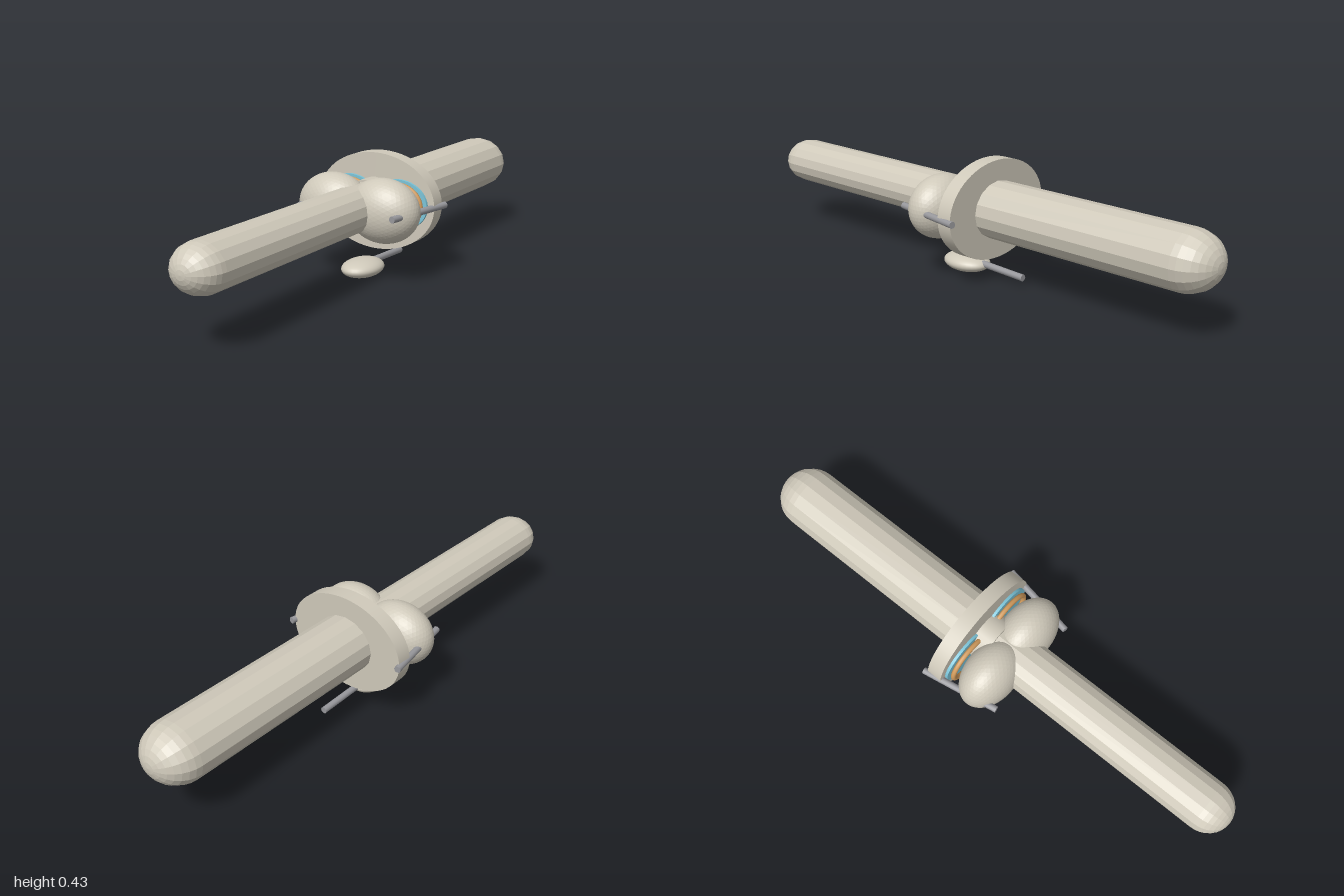
import * as THREE from 'three';

const AXIS_Y = 0.257; // height of the main axis
const material = (color, flatShading) => new THREE.MeshStandardMaterial({ color, flatShading });
const hullFlat = material(0xcfc9ba, true);
const hullSmooth = material(0xcfc9ba, false);
const rodGrey = material(0x98989c, false);
const blue = material(0x7cc4d8, false);
const orange = material(0xd09a5c, false);

export function createModel() {
  const model = new THREE.Group();

  const add = (name, geometry, mat, x = 0, y = AXIS_Y, z = 0) => {
    const mesh = new THREE.Mesh(geometry, mat);
    mesh.name = name;
    mesh.position.set(x, y, z);
    model.add(mesh);
    return mesh;
  };

  // Long oval tube along +z with a domed tip, turned round for the rear hull
  const hull = (name, rx, ry, start, shoulder, tip, turn) => {
    const profile = [new THREE.Vector2(0, start), new THREE.Vector2(1, start)];
    for (let i = 0; i <= 8; i++) {
      const a = (i / 8) * Math.PI / 2;
      profile.push(new THREE.Vector2(i === 8 ? 0 : Math.cos(a), shoulder + (tip - shoulder) * Math.sin(a)));
    }
    const geometry = new THREE.LatheGeometry(profile, 16);
    geometry.rotateX(Math.PI / 2).scale(rx, ry, 1).rotateY(turn);
    return add(name, geometry, hullFlat);
  };
  hull('frontHull', 0.093, 0.082, 0, 0.905, 1, 0);
  hull('rearHull', 0.114, 0.102, 0.06, 0.885, 1, Math.PI);

  // Oval cylinder along z between two depths
  const ovalDisc = (name, rx, ry, z0, z1, mat, x = 0, sides = 64) => {
    const geometry = new THREE.CylinderGeometry(1, 1, Math.abs(z1 - z0), sides);
    geometry.rotateX(Math.PI / 2).scale(rx, ry, 1);
    return add(name, geometry, mat, x, AXIS_Y, (z0 + z1) / 2);
  };
  ovalDisc('bulkhead', 0.237, 0.176, -0.115, -0.058, hullSmooth);
  ovalDisc('neck', 0.09, 0.088, -0.06, 0.01, hullSmooth, 0, 32);

  // Straight round rod between two points
  const rod = (name, from, to, radius) => {
    const direction = to.clone().sub(from);
    const mesh = add(name, new THREE.CylinderGeometry(radius, radius, direction.length(), 12), rodGrey);
    mesh.position.copy(from).add(to).multiplyScalar(0.5);
    mesh.quaternion.setFromUnitVectors(new THREE.Vector3(0, 1, 0), direction.normalize());
    return mesh;
  };

  for (const side of [1, -1]) {
    const label = side > 0 ? 'left' : 'right';

    // Round tank
    const tank = new THREE.IcosahedronGeometry(1, 8).scale(0.137, 0.115, 0.093);
    add(label + 'Tank', tank, hullFlat, side * 0.1, AXIS_Y, 0.057);

    // Coloured plate and ring between tank and bulkhead
    ovalDisc(label + 'Plate', 0.112, 0.09, -0.06, -0.048, blue, side * 0.1);
    const ring = new THREE.TorusGeometry(0.088, 0.009, 10, 48).scale(1.06, 0.87, 1);
    add(label + 'Ring', ring, orange, side * 0.1, AXIS_Y, -0.036);

    // Splayed side rod passing through the tank
    rod(label + 'SideRod', new THREE.Vector3(side * 0.19, AXIS_Y, 0.155),
      new THREE.Vector3(side * 0.241, AXIS_Y, -0.13), 0.012);
  }

  // Lens-shaped pod below with its trailing rod
  const pod = new THREE.SphereGeometry(1, 32, 20).scale(0.07, 0.033, 0.094);
  add('lowerPod', pod, hullSmooth, 0, 0.033, 0.03);
  rod('lowerPodRod', new THREE.Vector3(0, 0.041, -0.03), new THREE.Vector3(0, 0.033, -0.235), 0.012);

  return model;
}
